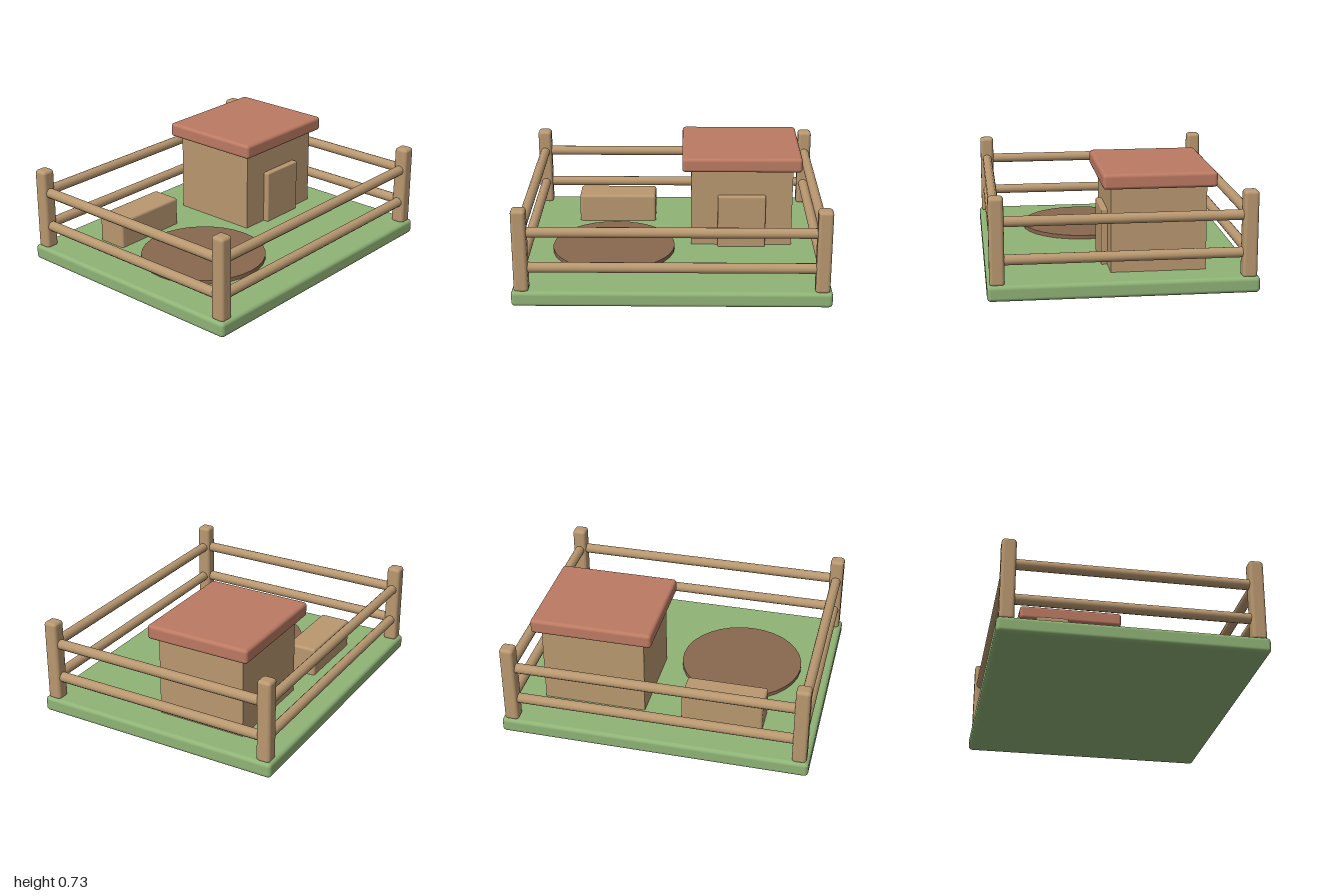
import * as THREE from 'three';
import { RoundedBoxGeometry } from 'three/addons/geometries/RoundedBoxGeometry.js';

const material = (name, color) => {
  const m = new THREE.MeshStandardMaterial({ color });
  m.name = name;
  return m;
};

export function createModel() {
  const grass = material('grass', 0x8fb376);
  const wood = material('wood', 0xb99870);
  const roofRed = material('roofRed', 0xbc7a62);
  const mud = material('mud', 0x89674e);

  const model = new THREE.Group();
  model.name = 'animalPen';

  const add = (parent, name, geometry, mat, x, y, z) => {
    const mesh = new THREE.Mesh(geometry, mat);
    mesh.name = name;
    mesh.position.set(x, y, z);
    parent.add(mesh);
    return mesh;
  };
  // Rounded box given by its minimum and maximum on each axis
  const block = (parent, name, mat, [x0, x1], [y0, y1], [z0, z1], radius) =>
    add(parent, name, new RoundedBoxGeometry(x1 - x0, y1 - y0, z1 - z0, 3, radius), mat,
      (x0 + x1) / 2, (y0 + y1) / 2, (z0 + z1) / 2);

  // Ground slab
  block(model, 'ground', grass, [-1, 1], [0, 0.1], [-0.83, 0.83], 0.025);

  // Fence: four corner posts and two rails per side
  const fence = new THREE.Group();
  fence.name = 'fence';
  model.add(fence);
  const px = 0.937, pz = 0.768, half = 0.046;
  for (const sx of [-1, 1]) {
    for (const sz of [-1, 1]) {
      const x = sx * px, z = sz * pz;
      block(fence, 'post', wood, [x - half, x + half], [0.09, 0.635], [z - half, z + half], 0.022);
    }
  }
  const railX = new THREE.CylinderGeometry(0.033, 0.033, 2 * px, 12).rotateZ(Math.PI / 2);
  const railZ = new THREE.CylinderGeometry(0.033, 0.033, 2 * pz, 12).rotateX(Math.PI / 2);
  for (const y of [0.245, 0.48]) {
    for (const s of [-1, 1]) {
      add(fence, 'longRail', railX, wood, 0, y, s * pz);
      add(fence, 'sideRail', railZ, wood, s * px, y, 0);
    }
  }

  // Shelter with door and overhanging roof
  const shelter = new THREE.Group();
  shelter.name = 'shelter';
  model.add(shelter);
  add(shelter, 'walls', new THREE.BoxGeometry(0.674, 0.56, 0.594), wood, 0.457, 0.375, -0.232);
  block(shelter, 'door', wood, [0.298, 0.616], [0.095, 0.458], [0.05, 0.103], 0.01);
  block(shelter, 'roof', roofRed, [0.06, 0.85], [0.632, 0.728], [-0.585, 0.118], 0.022);

  // Feeding trough
  block(model, 'trough', wood, [-0.66, -0.128], [0.085, 0.29], [-0.556, -0.35], 0.018);

  // Mud patch
  add(model, 'mudPatch', new THREE.CylinderGeometry(0.406, 0.406, 0.035, 32), mud, -0.395, 0.108, 0.13);

  return model;
}
